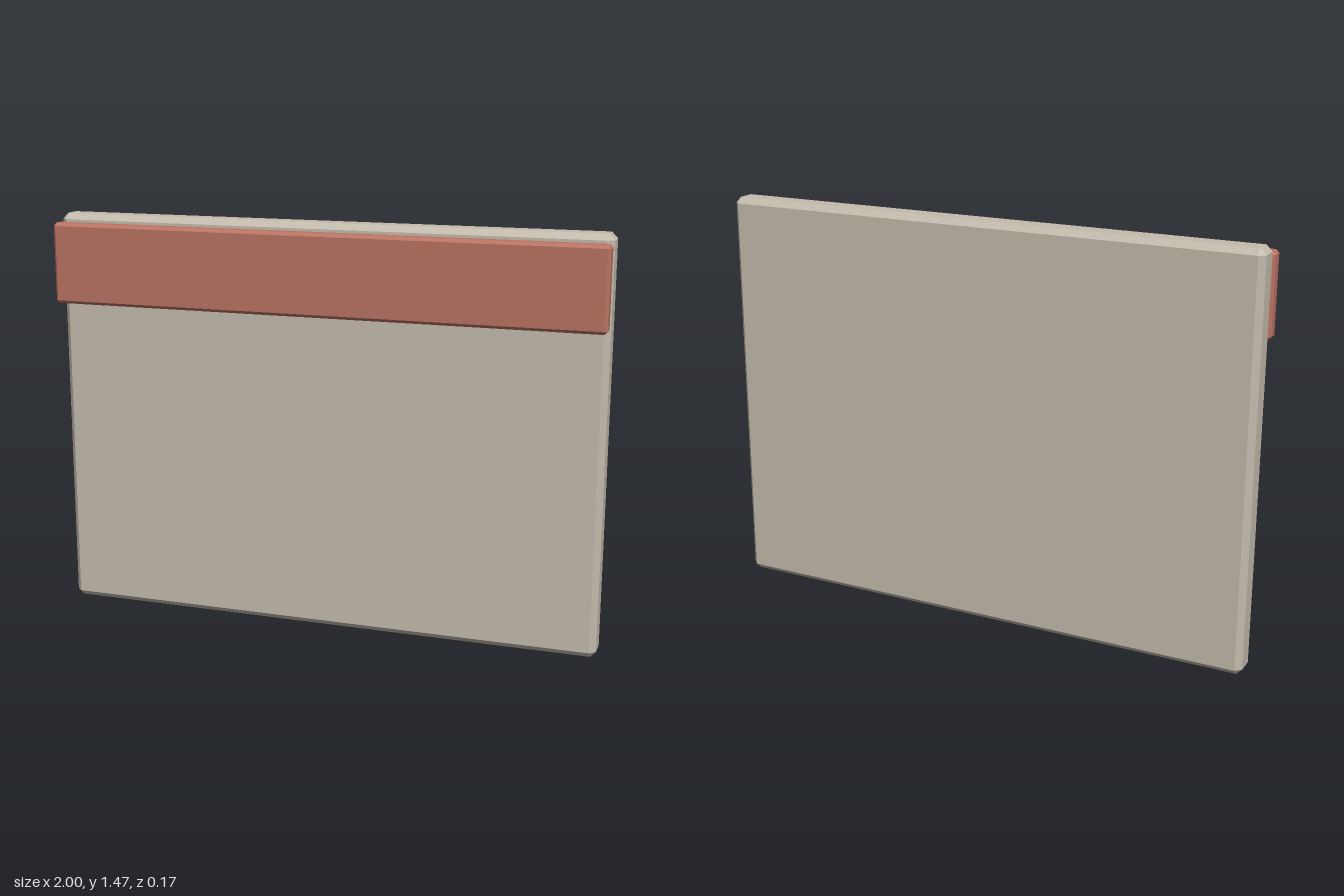
import * as THREE from 'three';
import { ConvexGeometry } from 'three/addons/geometries/ConvexGeometry.js';

// Box with every edge chamfered by c: three corner points per octant
function chamferBox(w, h, d, c) {
  const x = w / 2, y = h / 2, z = d / 2, points = [];
  for (const sx of [-1, 1]) for (const sy of [-1, 1]) for (const sz of [-1, 1]) {
    points.push(
      new THREE.Vector3(sx * x, sy * (y - c), sz * (z - c)),
      new THREE.Vector3(sx * (x - c), sy * y, sz * (z - c)),
      new THREE.Vector3(sx * (x - c), sy * (y - c), sz * z)
    );
  }
  return new ConvexGeometry(points);
}

export function createModel() {
  const model = new THREE.Group();
  model.name = 'signBoard';

  const stone = new THREE.MeshStandardMaterial({ name: 'warm grey', color: 0xc2baac });
  const clay = new THREE.MeshStandardMaterial({ name: 'clay red', color: 0xb87261 });

  const add = (name, geometry, material, y, z) => {
    const mesh = new THREE.Mesh(geometry, material);
    mesh.name = name;
    mesh.position.set(0, y, z);
    model.add(mesh);
  };

  // Main upright slab
  add('panel', chamferBox(2, 1.47, 0.103, 0.021), stone, 0.735, -0.032);

  // Band floating just in front of the top edge
  add('headerStrip', chamferBox(2, 0.292, 0.055, 0.011), clay, 1.296, 0.056);

  return model;
}
